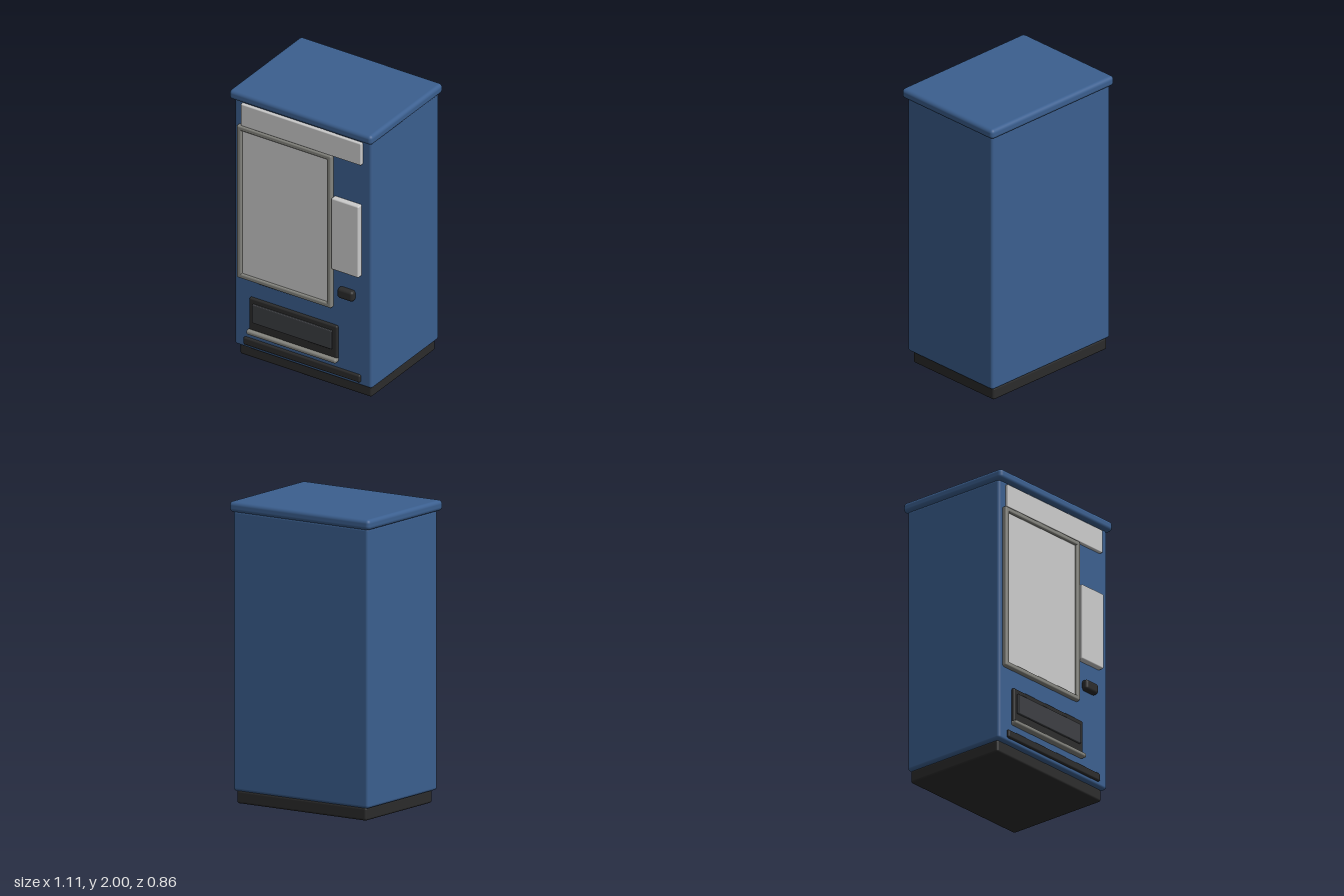
import * as THREE from 'three';
import { RoundedBoxGeometry } from 'three/addons/geometries/RoundedBoxGeometry.js';

const material = (color) => new THREE.MeshStandardMaterial({ color });

export function createModel() {
  const model = new THREE.Group();
  const blue = material(0x3b5f8f);
  const grey = material(0xcccccc);
  const metal = material(0x85857f);
  const dark = material(0x2b2b2b);
  const flapGrey = material(0x3c3e42);

  // Rounded box given by its limits on each axis
  function box(name, mat, [x0, x1], [y0, y1], [z0, z1], radius, parent = model) {
    const geometry = new RoundedBoxGeometry(x1 - x0, y1 - y0, z1 - z0, 3, radius);
    const mesh = new THREE.Mesh(geometry, mat);
    mesh.position.set((x0 + x1) / 2, (y0 + y1) / 2, (z0 + z1) / 2);
    mesh.name = name;
    parent.add(mesh);
    return mesh;
  }

  // Main body
  box('plinth', dark, [-0.515, 0.515], [0, 0.088], [-0.397, 0.352], 0.016);
  box('cabinet', blue, [-0.536, 0.536], [0.083, 1.94], [-0.407, 0.383], 0.02);
  box('roof', blue, [-0.557, 0.557], [1.93, 2], [-0.427, 0.419], 0.026);

  // Header sign
  box('signPanel', grey, [-0.473, 0.467], [1.75, 1.915], [0.36, 0.406], 0.008);

  // Display window with a four-bar frame
  const display = new THREE.Group();
  display.name = 'displayWindow';
  model.add(display);
  box('glass', grey, [-0.463, 0.202], [0.64, 1.716], [0.36, 0.398], 0.005, display);
  for (const [side, x] of [['Right', -0.5], ['Left', 0.202]])
    box('frame' + side, metal, [x, x + 0.036], [0.607, 1.75], [0.37, 0.413], 0.012, display);
  for (const [side, y] of [['Bottom', 0.607], ['Top', 1.714]])
    box('frame' + side, metal, [-0.5, 0.238], [y, y + 0.036], [0.37, 0.413], 0.012, display);

  // Payment area
  box('controlPanel', grey, [0.246, 0.459], [0.912, 1.447], [0.36, 0.423], 0.01);
  box('coinReturn', dark, [0.288, 0.411], [0.711, 0.786], [0.37, 0.423], 0.02);

  // Delivery bin with flap and metal lip
  const bin = new THREE.Group();
  bin.name = 'deliveryBin';
  model.add(bin);
  box('binSurround', dark, [-0.41, 0.278], [0.22, 0.48], [0.36, 0.402], 0.012, bin);
  box('binFlap', flapGrey, [-0.378, 0.242], [0.304, 0.443], [0.38, 0.415], 0.006, bin);
  box('binLip', metal, [-0.418, 0.283], [0.212, 0.245], [0.38, 0.429], 0.014, bin);

  // Lower vent strip
  box('ventStrip', dark, [-0.458, 0.453], [0.111, 0.167], [0.36, 0.4], 0.012);

  return model;
}
